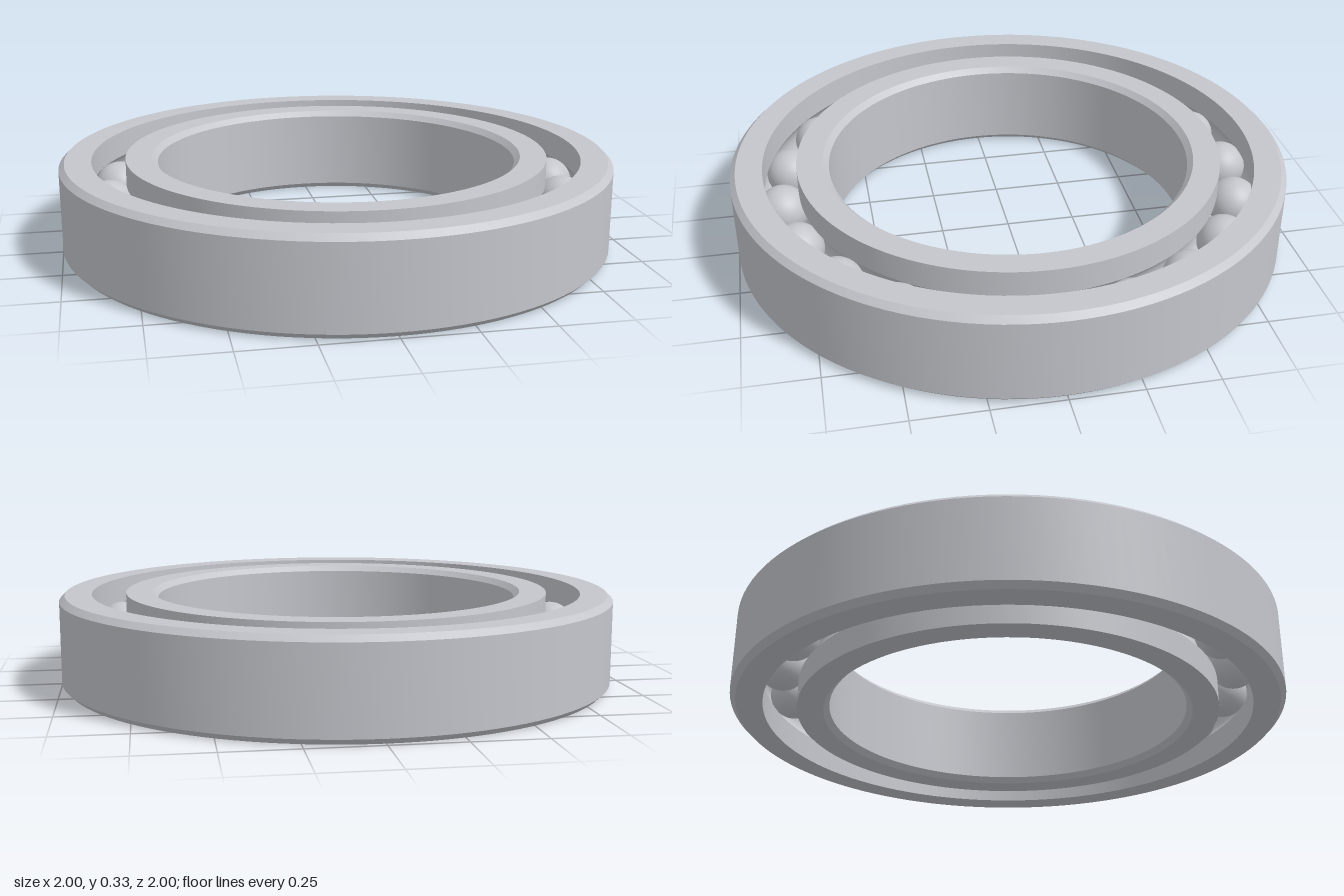
import * as THREE from 'three';
import { toCreasedNormals } from 'three/addons/utils/BufferGeometryUtils.js';

const HEIGHT = 0.33, MID = HEIGHT / 2, CHAMFER = 0.02;
const PITCH = 0.825;      // radius of the circle of ball centres
const BALL = 0.092;       // ball radius, also the raceway radius
const BALL_COUNT = 20;

// Half-circle-like raceway cut into a ring wall at the given radius
function raceway(wall, from, to, steps = 12) {
  const half = Math.acos(Math.abs(wall - PITCH) / BALL);
  const side = Math.sign(wall - PITCH);
  const points = [];
  for (let i = 0; i <= steps; i++) {
    const a = THREE.MathUtils.lerp(from, to, i / steps) * half;
    points.push([PITCH + side * BALL * Math.cos(a), MID + BALL * Math.sin(a)]);
  }
  return points;
}

// Closed profile, counter-clockwise, spun around the y axis
function ring(name, profile, material) {
  const points = [...profile, profile[0]].map(([r, y]) => new THREE.Vector2(r, y));
  const geometry = toCreasedNormals(new THREE.LatheGeometry(points, 120), 0.4);
  const mesh = new THREE.Mesh(geometry, material);
  mesh.name = name;
  return mesh;
}

export function createModel() {
  const model = new THREE.Group();
  model.name = 'ballBearing';
  const steel = new THREE.MeshStandardMaterial({ color: 0xc4c6cc });
  steel.name = 'steel';

  // Outer ring: chamfered outside, raceway on its inner wall
  const outerWall = 0.885;
  model.add(ring('outerRing', [
    [outerWall, 0], [1 - CHAMFER, 0], [1, CHAMFER],
    [1, HEIGHT - CHAMFER], [1 - CHAMFER, HEIGHT], [outerWall, HEIGHT],
    ...raceway(outerWall, 1, -1),
  ], steel));

  // Inner ring: chamfered bore, raceway on its outer wall
  const innerWall = 0.765, bore = 0.65;
  model.add(ring('innerRing', [
    [bore + CHAMFER, 0], [innerWall, 0],
    ...raceway(innerWall, -1, 1),
    [innerWall, HEIGHT], [bore + CHAMFER, HEIGHT],
    [bore, HEIGHT - CHAMFER], [bore, CHAMFER],
  ], steel));

  // Balls evenly spaced between the raceways
  const balls = new THREE.Group();
  balls.name = 'balls';
  const ballGeometry = new THREE.SphereGeometry(BALL, 32, 20);
  for (let i = 0; i < BALL_COUNT; i++) {
    const a = (i / BALL_COUNT) * Math.PI * 2;
    const ball = new THREE.Mesh(ballGeometry, steel);
    ball.name = 'ball';
    ball.position.set(PITCH * Math.cos(a), MID, PITCH * Math.sin(a));
    balls.add(ball);
  }
  model.add(balls);
  return model;
}
